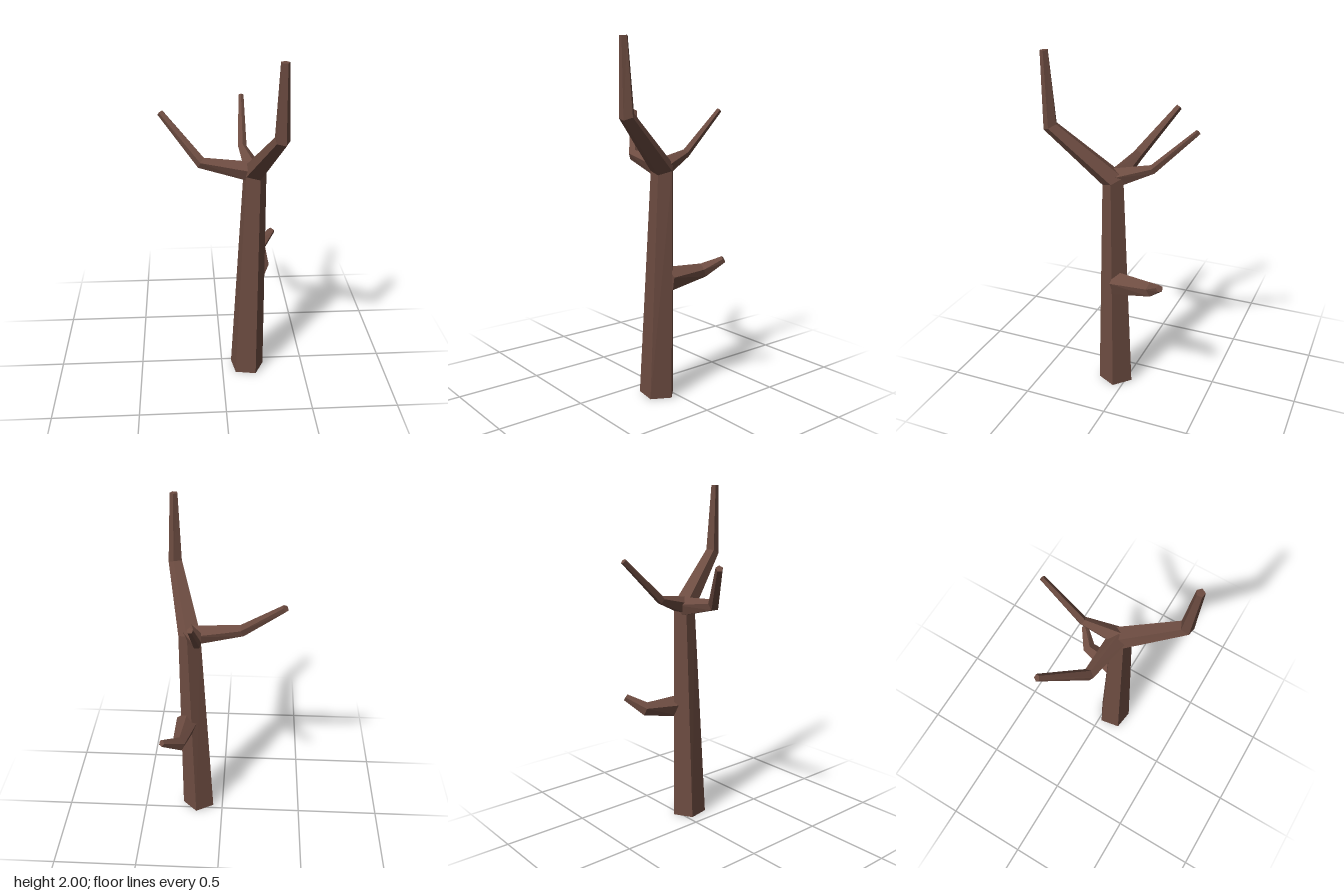
import * as THREE from 'three';

const SIDES = 5;

// Tapered five-sided limb lofted through stations [x, y, z, radius].
// One corner of every ring points towards `ref`.
function limb(name, stations, ref, material) {
  const pts = stations.map(([x, y, z]) => new THREE.Vector3(x, y, z));
  const last = pts.length - 1;
  const positions = [];
  const index = [];

  pts.forEach((p, i) => {
    // Ring plane halves the bend between the neighbouring segments
    const normal = new THREE.Vector3();
    if (i > 0) normal.add(p.clone().sub(pts[i - 1]).normalize());
    if (i < last) normal.add(pts[i + 1].clone().sub(p).normalize());
    normal.normalize();
    const u = ref.clone().projectOnPlane(normal).normalize();
    const v = normal.clone().cross(u);
    for (let k = 0; k < SIDES; k++) {
      const a = (k / SIDES) * Math.PI * 2;
      const q = p.clone()
        .addScaledVector(u, Math.cos(a) * stations[i][3])
        .addScaledVector(v, Math.sin(a) * stations[i][3]);
      positions.push(q.x, q.y, q.z);
    }
  });

  // Side faces
  for (let i = 0; i < last; i++) {
    for (let k = 0; k < SIDES; k++) {
      const a = i * SIDES + k;
      const b = i * SIDES + (k + 1) % SIDES;
      index.push(a, b, b + SIDES, a, b + SIDES, a + SIDES);
    }
  }
  // End caps
  const top = last * SIDES;
  for (let k = 1; k < SIDES - 1; k++) {
    index.push(0, k + 1, k, top, top + k, top + k + 1);
  }

  const indexed = new THREE.BufferGeometry();
  indexed.setAttribute('position', new THREE.Float32BufferAttribute(positions, 3));
  indexed.setIndex(index);
  const geometry = indexed.toNonIndexed();
  geometry.computeVertexNormals();
  const mesh = new THREE.Mesh(geometry, material);
  mesh.name = name;
  return mesh;
}

export function createModel() {
  const group = new THREE.Group();
  group.name = 'bareTree';
  const bark = new THREE.MeshStandardMaterial({ color: 0x6d4c41, flatShading: true });
  bark.name = 'brownBark';

  const up = new THREE.Vector3(0, 1, 0);
  const back = new THREE.Vector3(0.14, 0, -0.99);

  group.add(
    // Trunk bending forward into the tallest branch
    limb('trunk', [
      [0.153, 0.002, 0.068, 0.105],
      [0.18, 1.305, 0.058, 0.068],
      [0.282, 1.6, 0.373, 0.042],
      [0.28, 1.998, 0.39, 0.023],
    ], back, bark),
    // Upper branch reaching to -x
    limb('rightBranch', [
      [0.18, 1.305, 0.055, 0.06],
      [-0.115, 1.358, 0.033, 0.034],
      [-0.335, 1.597, -0.13, 0.02],
    ], up, bark),
    // Upper branch reaching backwards
    limb('backBranch', [
      [0.17, 1.315, 0.05, 0.055],
      [0.127, 1.376, -0.15, 0.026],
      [0.136, 1.612, -0.395, 0.016],
    ], up, bark),
    // Short stub halfway up the trunk
    limb('lowerBranch', [
      [0.21, 0.69, 0.04, 0.07],
      [0.243, 0.71, -0.19, 0.042],
      [0.33, 0.778, -0.268, 0.021],
    ], up, bark),
  );
  return group;
}
